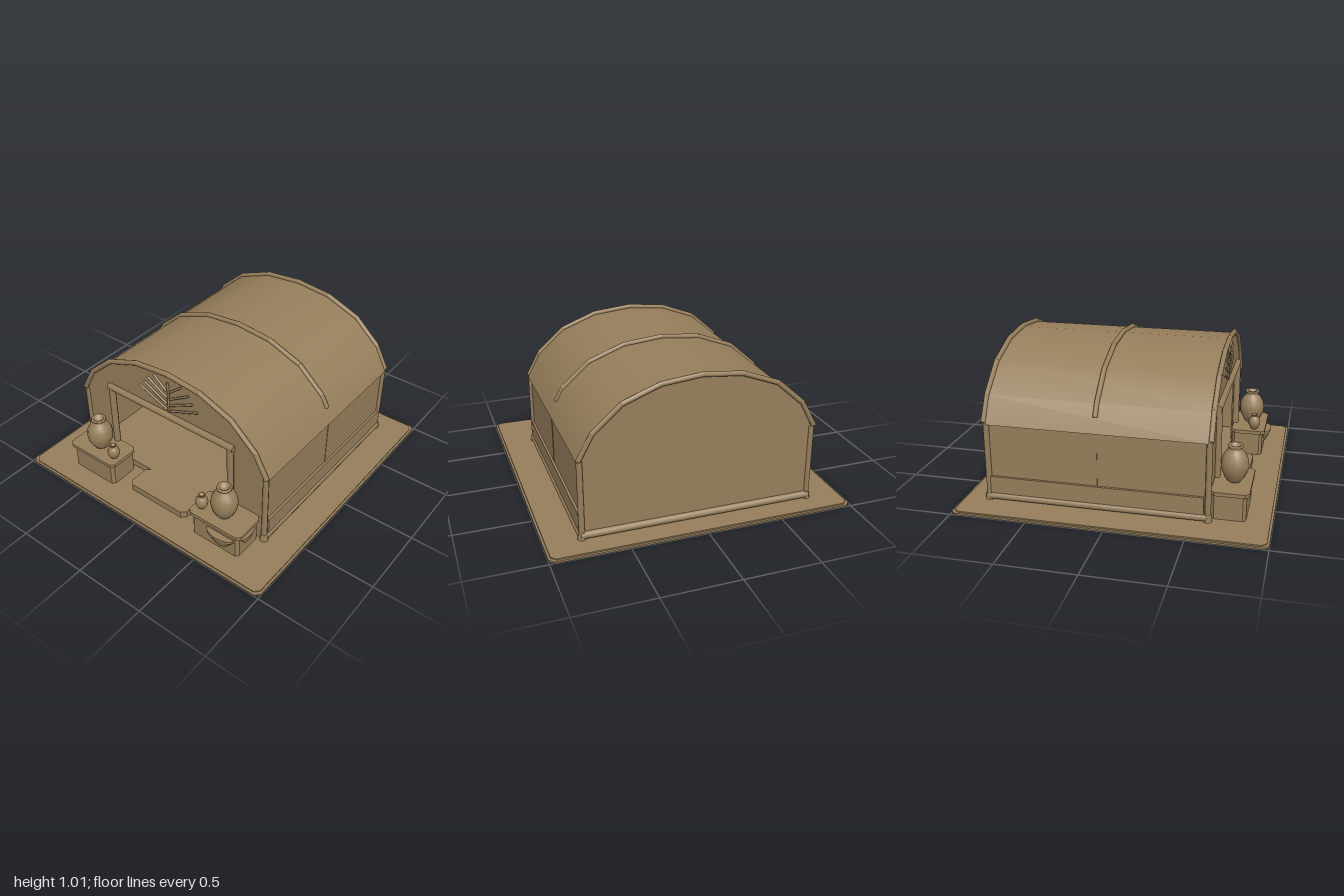
import * as THREE from 'three';

export function createModel() {
  const model = new THREE.Group();
  model.name = 'vaultedHut';
  const clay = new THREE.MeshStandardMaterial({ color: 0x967e5b, side: THREE.DoubleSide });
  clay.name = 'clay tan';

  const add = (name, geo, x = 0, y = 0, z = 0) => {
    const m = new THREE.Mesh(geo, clay);
    m.name = name;
    m.position.set(x, y, z);
    model.add(m);
    return m;
  };
  const box = (name, w, h, d, x, y, z) => add(name, new THREE.BoxGeometry(w, h, d), x, y, z);

  // round beam between two points
  const beam = (name, a, b, r, sides = 8) => {
    const p = new THREE.Vector3(...a), q = new THREE.Vector3(...b);
    const dir = q.clone().sub(p);
    const m = add(name, new THREE.CylinderGeometry(r, r, dir.length(), sides));
    m.position.copy(p).add(q).multiplyScalar(0.5);
    m.quaternion.setFromUnitVectors(new THREE.Vector3(0, 1, 0), dir.normalize());
    return m;
  };

  // horizontal slab with chamfered corners, base at y
  const slab = (name, w, d, h, c, x, y, z) => {
    const a = w / 2, b = d / 2, s = new THREE.Shape();
    [[-a + c, -b], [a - c, -b], [a, -b + c], [a, b - c], [a - c, b], [-a + c, b], [-a, b - c], [-a, -b + c]]
      .forEach(([u, v], i) => (i ? s.lineTo(u, v) : s.moveTo(u, v)));
    const g = new THREE.ExtrudeGeometry(s, { depth: h, bevelEnabled: false });
    g.rotateX(-Math.PI / 2);
    return add(name, g, x, y, z);
  };

  // ground and raised floor
  slab('ground', 2, 2, 0.012, 0.03, 0, 0, 0);
  slab('groundTop', 1.97, 1.97, 0.008, 0.03, 0, 0.012, 0);
  box('floor', 1.48, 0.048, 1.42, 0, 0.044, -0.11);
  slab('doorStep', 0.49, 0.19, 0.048, 0.03, 0, 0.02, 0.695);

  // half of the arch profile, mirrored
  const half = [[0.77, 0.55], [0.68, 0.715], [0.5, 0.875], [0.26, 0.967], [0, 0.993]];
  const arch = [...half.map(([x, y]) => [-x, y]), ...half.slice(0, 4).reverse()];

  // curved roof skin
  const roof = new THREE.PlaneGeometry(1, 1, 8, 1);
  const rp = roof.attributes.position;
  for (let i = 0; i < rp.count; i++) {
    const [x, y] = arch[i % 9];
    rp.setXYZ(i, x * 1.012, i % 9 === 0 || i % 9 === 8 ? y - 0.012 : y - 0.008, i < 9 ? -0.835 : 0.61);
  }
  roof.computeVertexNormals();
  add('roof', roof);

  // arched ribs over the roof
  for (const z of [0.615, -0.113, -0.838]) {
    const pts = arch.map(p => p.slice());
    if (z === -0.113) {
      pts[0] = [-0.73, 0.63];
      pts[8] = [0.73, 0.63];
    }
    for (let i = 0; i < 8; i++) beam('roofRib', [...pts[i], z], [...pts[i + 1], z], 0.017);
    for (let i = 1; i < 8; i++) add('ribJoint', new THREE.SphereGeometry(0.017, 8, 6), ...pts[i], z);
  }

  // end walls, the front one with a doorway
  const gable = door => {
    const s = new THREE.Shape();
    s.moveTo(-0.75, 0.02);
    if (door) {
      s.lineTo(-0.5, 0.02); s.lineTo(-0.5, 0.665); s.lineTo(0.5, 0.665); s.lineTo(0.5, 0.02);
    }
    s.lineTo(0.75, 0.02);
    s.lineTo(0.75, 0.55);
    half.slice(1).forEach(([x, y]) => s.lineTo(x, y - 0.01));
    half.slice(1, 4).reverse().forEach(([x, y]) => s.lineTo(-x, y - 0.01));
    s.lineTo(-0.75, 0.55);
    return new THREE.ExtrudeGeometry(s, { depth: 0.02, bevelEnabled: false });
  };
  add('frontWall', gable(true), 0, 0, 0.59);
  add('backWall', gable(false), 0, 0, -0.83);
  beam('backSill', [-0.77, 0.045, -0.83], [0.77, 0.045, -0.83], 0.025);

  // door frame
  beam('lintel', [-0.525, 0.67, 0.622], [0.525, 0.67, 0.622], 0.023);

  // branch ornament over the door
  beam('ornamentStem', [0, 0.7, 0.614], [0, 0.93, 0.614], 0.008, 6);
  const twigs = [[0.71, 0.24, 0.805], [0.755, 0.2, 0.85], [0.805, 0.17, 0.9], [0.86, 0.115, 0.943]];

  // turned vase, profile scaled by radius and height
  const vaseProfile = [[0, 0], [0.45, 0], [0.7, 0.12], [0.93, 0.3], [1, 0.48], [0.92, 0.65], [0.7, 0.8],
    [0.46, 0.88], [0.46, 0.92], [0.56, 0.96], [0.54, 1], [0.36, 1], [0.34, 0.9], [0, 0.88]];
  const vase = (name, r, h, x, y, z) => add(name,
    new THREE.LatheGeometry(vaseProfile.map(([u, v]) => new THREE.Vector2(u * r, v * h)), 14), x, y, z);

  for (const s of [-1, 1]) {
    // side walls, bands and sills
    box('sideWall', 0.02, 0.53, 1.42, s * 0.75, 0.285, -0.115);
    box('sideBand', 0.02, 0.115, 1.39, s * 0.767, 0.125, -0.115);
    box('wallSeam', 0.006, 0.36, 0.006, s * 0.76, 0.36, -0.1);
    beam('sideSill', [s * 0.765, 0.045, 0.6], [s * 0.765, 0.045, -0.83], 0.024);
    // corner posts
    for (const z of [0.605, -0.825]) {
      beam('cornerPost', [s * 0.76, 0.02, z], [s * 0.76, 0.545, z], 0.02);
      add('postFoot', new THREE.CylinderGeometry(0.022, 0.03, 0.05, 8), s * 0.76, 0.045, z);
    }
    beam('doorPost', [s * 0.5, 0.02, 0.622], [s * 0.5, 0.67, 0.622], 0.023);
    twigs.forEach(([y0, x1, y1]) => beam('ornamentTwig', [s * 0.015, y0, 0.614], [s * x1, y1, 0.614], 0.008, 6));
    // stalls with vases
    slab('stallBody', 0.37, 0.22, 0.165, 0.02, s * 0.535, 0.02, 0.725);
    slab('stallTop', 0.41, 0.24, 0.025, 0.025, s * 0.535, 0.185, 0.732);
    vase('largeVase', 0.09, 0.245, s * 0.542, 0.21, 0.737);
    vase('smallVase', 0.042, 0.11, s * 0.387, 0.21, 0.772);
  }

  // half bowl on the front of one stall and a flatter one on its side
  const halfBowl = () => new THREE.CylinderGeometry(0.105, 0.04, 0.075, 12, 1, false, -Math.PI / 2, Math.PI);
  add('frontBowl', halfBowl(), 0.585, 0.094, 0.83).scale.z = 0.5;
  add('frontBowlRim', new THREE.CylinderGeometry(0.107, 0.105, 0.018, 12, 1, false, -Math.PI / 2, Math.PI),
    0.585, 0.14, 0.83).scale.z = 0.5;
  const sideBowl = add('sideBowl', halfBowl(), 0.72, 0.12, 0.73);
  sideBowl.rotation.y = Math.PI / 2;
  sideBowl.scale.set(0.7, 0.75, 0.2);

  // inner altar with its vase
  box('altar', 0.48, 0.18, 0.24, 0, 0.158, -0.66);
  box('altarTop', 0.5, 0.015, 0.26, 0, 0.247, -0.66);
  box('altarBase', 0.5, 0.02, 0.26, 0, 0.078, -0.66);
  vase('altarVase', 0.075, 0.2, 0, 0.255, -0.66);

  return model;
}
